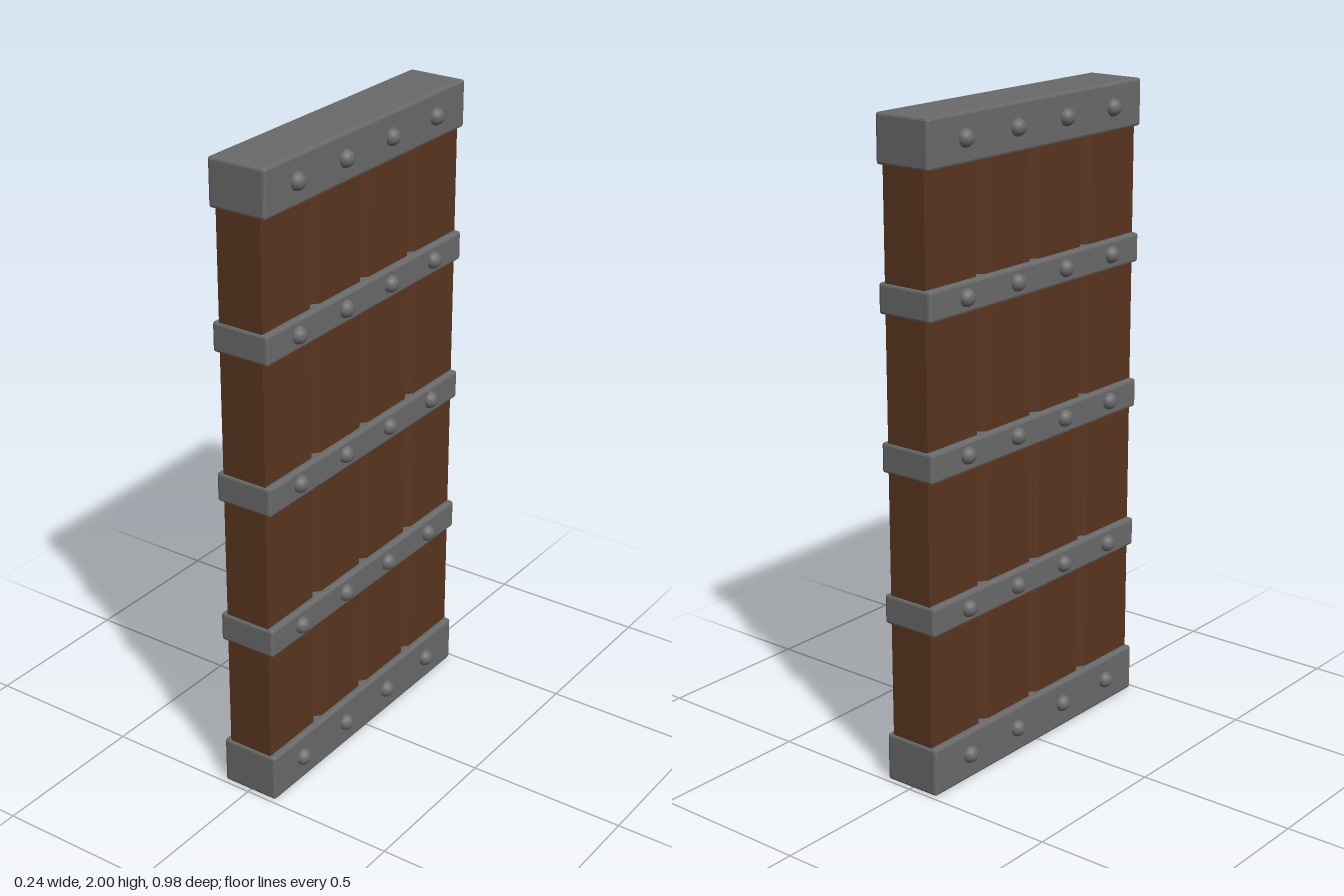
import * as THREE from 'three';
import { RoundedBoxGeometry } from 'three/addons/geometries/RoundedBoxGeometry.js';

const wood = new THREE.MeshStandardMaterial({ color: 0x5a3520, flatShading: true });
const iron = new THREE.MeshStandardMaterial({ color: 0x6a6a6a, flatShading: true });
const rivetIron = new THREE.MeshStandardMaterial({ color: 0x6a6a6a });

const HALF_T = 0.074, HALF_W = 0.482;       // plank thickness and door width
const BAND_T = 0.094, BAND_W = 0.488;       // iron bands wrap just outside
const GROOVES = [-0.24, 0.002, 0.245];      // joints between the four planks
const RIVET_Z = [0.345, 0.12, -0.106, -0.332];
const BANDS = [                             // bottom, top, rivet height
  [0, 0.15, 0.08], [0.505, 0.596, 0.551], [0.97, 1.061, 1.021],
  [1.436, 1.527, 1.483], [1.856, 2, 1.928],
];

// Plank panel: plan outline with V-grooves on both faces, extruded upward
function makePlanks() {
  const w = 0.022, depth = 0.02;
  const side = [[HALF_T, -HALF_W]];
  for (const g of GROOVES) side.push([HALF_T, g - w], [HALF_T - depth, g], [HALF_T, g + w]);
  side.push([HALF_T, HALF_W]);
  const outline = [...side, ...side.map(([x, y]) => [-x, y]).reverse()];
  const shape = new THREE.Shape(outline.map(([x, y]) => new THREE.Vector2(x, y)));
  const geo = new THREE.ExtrudeGeometry(shape, { depth: 1.96, bevelEnabled: false });
  geo.rotateX(-Math.PI / 2).translate(0, 0.02, 0);
  const mesh = new THREE.Mesh(geo, wood);
  mesh.name = 'planks';
  return mesh;
}

// Chamfered iron band with a row of domed rivets on each face
function makeBand([bottom, top, rivetY], rivetGeo) {
  const group = new THREE.Group();
  group.name = 'ironBand';
  const geo = new RoundedBoxGeometry(BAND_T * 2, top - bottom, BAND_W * 2, 1, 0.008);
  const strap = new THREE.Mesh(geo, iron);
  strap.name = 'strap';
  strap.position.y = (bottom + top) / 2;
  group.add(strap);
  for (const s of [1, -1]) {
    for (const z of RIVET_Z) {
      const rivet = new THREE.Mesh(rivetGeo, rivetIron);
      rivet.name = 'rivet';
      rivet.position.set(s * (BAND_T - 0.001), rivetY, z);
      rivet.rotation.z = -s * Math.PI / 2;
      group.add(rivet);
    }
  }
  return group;
}

export function createModel() {
  const door = new THREE.Group();
  door.name = 'door';
  const rivetGeo = new THREE.SphereGeometry(0.027, 16, 8, 0, Math.PI * 2, 0, Math.PI / 2);
  door.add(makePlanks());
  for (const band of BANDS) door.add(makeBand(band, rivetGeo));
  return door;
}
